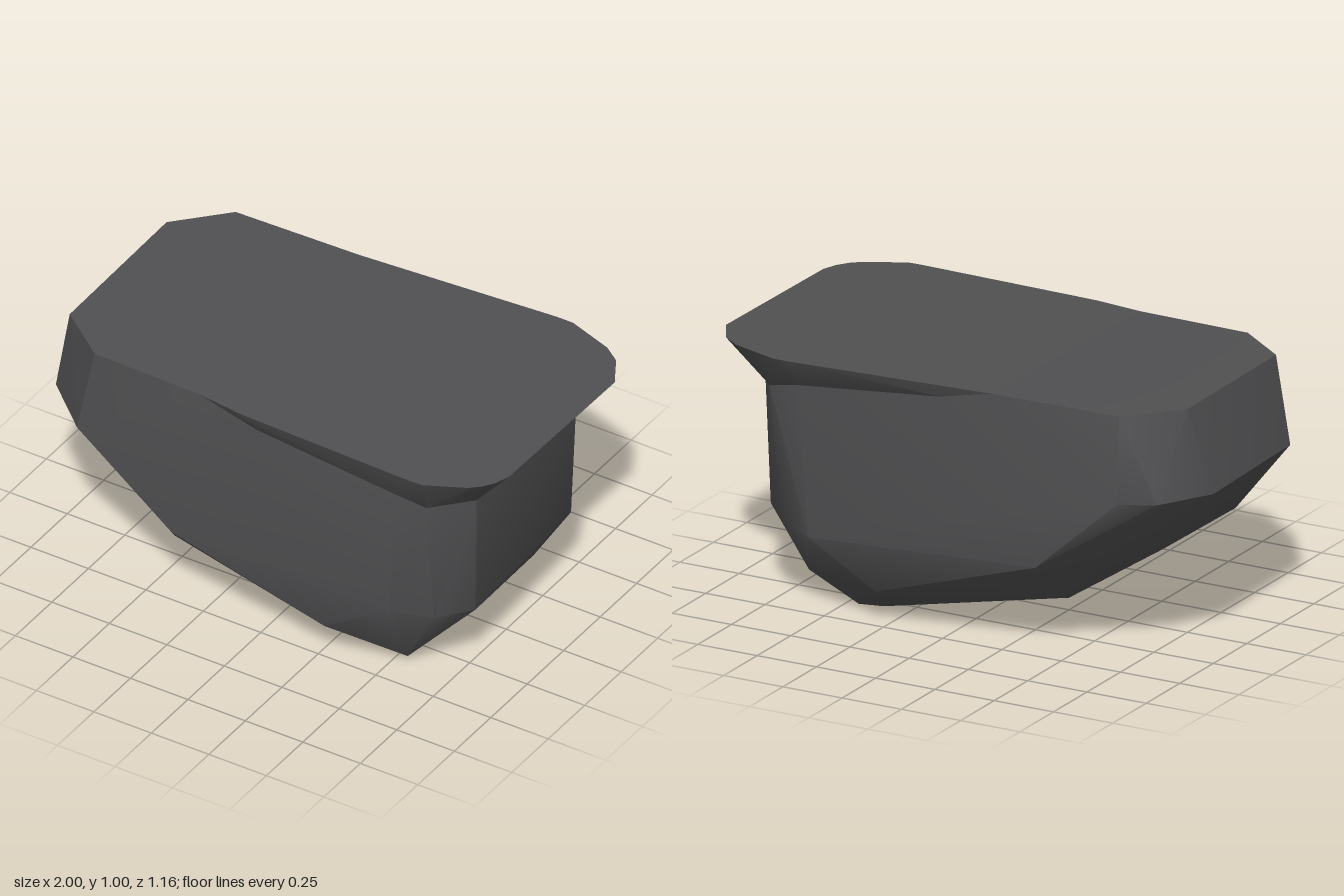
import * as THREE from 'three';
import { ConvexGeometry } from 'three/addons/geometries/ConvexGeometry.js';
import { toCreasedNormals } from 'three/addons/utils/BufferGeometryUtils.js';

// Faceted solid around a few corner points, with soft shallow edges
function facetedSolid(name, corners, material) {
  const hull = new ConvexGeometry(corners.map((c) => new THREE.Vector3(...c)));
  const mesh = new THREE.Mesh(toCreasedNormals(hull, 0.6), material);
  mesh.name = name;
  return mesh;
}

export function createModel() {
  const group = new THREE.Group();
  group.name = 'rockBlock';
  const stone = new THREE.MeshStandardMaterial({ color: 0x505052 });
  stone.name = 'darkStone';

  // Line where the overhanging rim meets the body
  const crease = [
    [-0.25, 1, 0.53], [0, 0.94, 0.535], [0.6, 0.875, 0.53], [0.72, 0.84, 0.5],
    [0.85, 0.84, 0.36], [0.85, 0.83, -0.32], [0.73, 0.86, -0.5],
    [0.6, 0.89, -0.525], [0, 0.95, -0.525], [-0.22, 1, -0.525],
  ];

  // Slanted blunt end
  const bluntEnd = [
    [-0.92, 1, 0.36], [-0.71, 1, 0.52], [-0.93, 1, -0.32], [-0.75, 1, -0.51],
    [-0.98, 0.66, 0.36], [-0.78, 0.645, 0.53], [-1, 0.66, -0.25],
    [-0.88, 0.66, -0.46], [-0.75, 0.66, -0.527],
  ];

  // Lower sides and sloping underside
  const underside = [
    [-0.8, 0.41, 0.27], [-0.79, 0.41, -0.25], [-0.44, 0.21, 0.4],
    [-0.43, 0.17, 0.28], [-0.42, 0.17, -0.3], [-0.37, 0.33, 0.53],
    [-0.4, 0.35, -0.515], [0.28, 0.14, 0.505], [0.3, 0.12, -0.47],
    [0.36, 0, 0.22], [0.36, 0, -0.3], [0.45, 0.003, -0.33], [0.55, 0.02, 0.36],
  ];

  // Upright end below the rim
  const uprightEnd = [
    [0.82, 0.31, 0.32], [0.81, 0.34, -0.35], [0.66, 0.1, -0.33],
    [0.58, 0.34, 0.53], [0.72, 0.31, 0.45], [0.56, 0.3, -0.515],
    [0.7, 0.32, -0.46], [0.1, 0.65, 0.54],
  ];
  group.add(facetedSolid('body', [...crease, ...bluntEnd, ...underside, ...uprightEnd], stone));

  // Flared rim with a flat top
  const topOutline = [
    [0.99, 0.36], [0.97, 0.42], [0.94, 0.465], [0.9, 0.5], [0.75, 0.575], [0.7, 0.577],
    [-0.05, 0.555], [1, -0.35], [0.93, -0.47], [0.86, -0.52], [0.67, -0.585], [0.6, -0.585],
  ].map(([x, z]) => [x, 1, z]);
  group.add(facetedSolid('rim', [...crease, ...topOutline], stone));

  return group;
}
